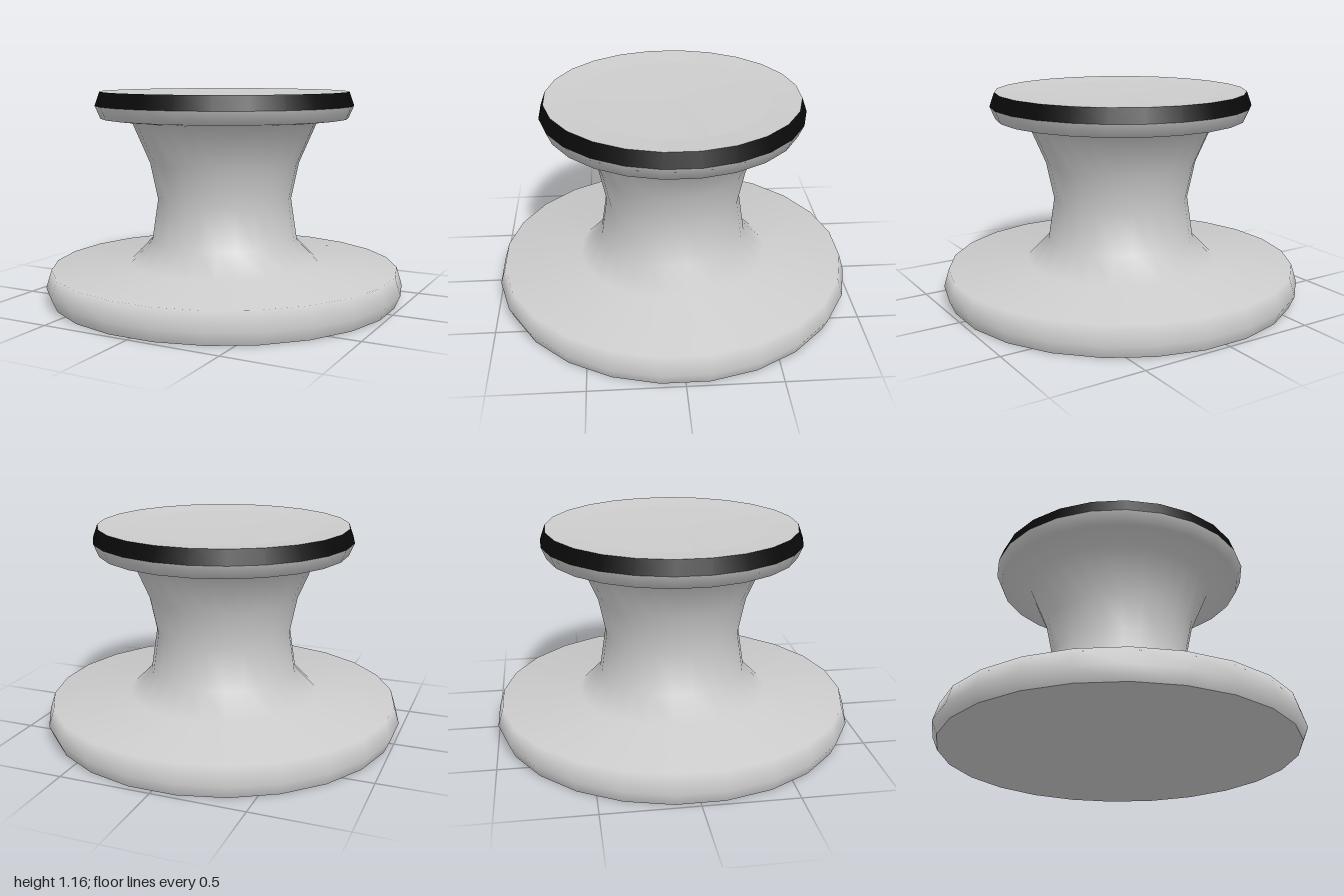
import * as THREE from 'three';

const SIDES = 24;
// Profiles give flat-to-centre distances; scale them out to the polygon corners.
const CORNER = 1 / Math.cos(Math.PI / SIDES);

function turned(name, profile, material) {
  const points = profile.map(([r, y]) => new THREE.Vector2(r * CORNER, y));
  const mesh = new THREE.Mesh(new THREE.LatheGeometry(points, SIDES, Math.PI / SIDES), material);
  mesh.name = name;
  return mesh;
}

export function createModel() {
  const grey = new THREE.MeshStandardMaterial({ color: 0xcccccc });
  const black = new THREE.MeshStandardMaterial({ color: 0x0a0a0a });
  const group = new THREE.Group();
  group.name = 'knob';

  group.add(
    // flat underside
    turned('baseUnderside', [[0, 0], [0.97, 0]], grey),
    // base plate, waisted neck and flared underside of the cap
    turned('body', [
      [0.97, 0], [1, 0.07], [0.97, 0.17], [0.53, 0.195],
      [0.41, 0.32], [0.375, 0.555], [0.417, 0.76], [0.515, 0.99],
      [0.685, 1.01], [0.715, 1.08],
    ], grey),
    // dark band round the cap
    turned('capBand', [[0.715, 1.08], [0.688, 1.157]], black),
    // sloping rim and shallow dished face
    turned('capRim', [[0.688, 1.157], [0.525, 1.143]], grey),
    turned('capDish', [[0.525, 1.143], [0, 1.13]], grey),
  );
  return group;
}
